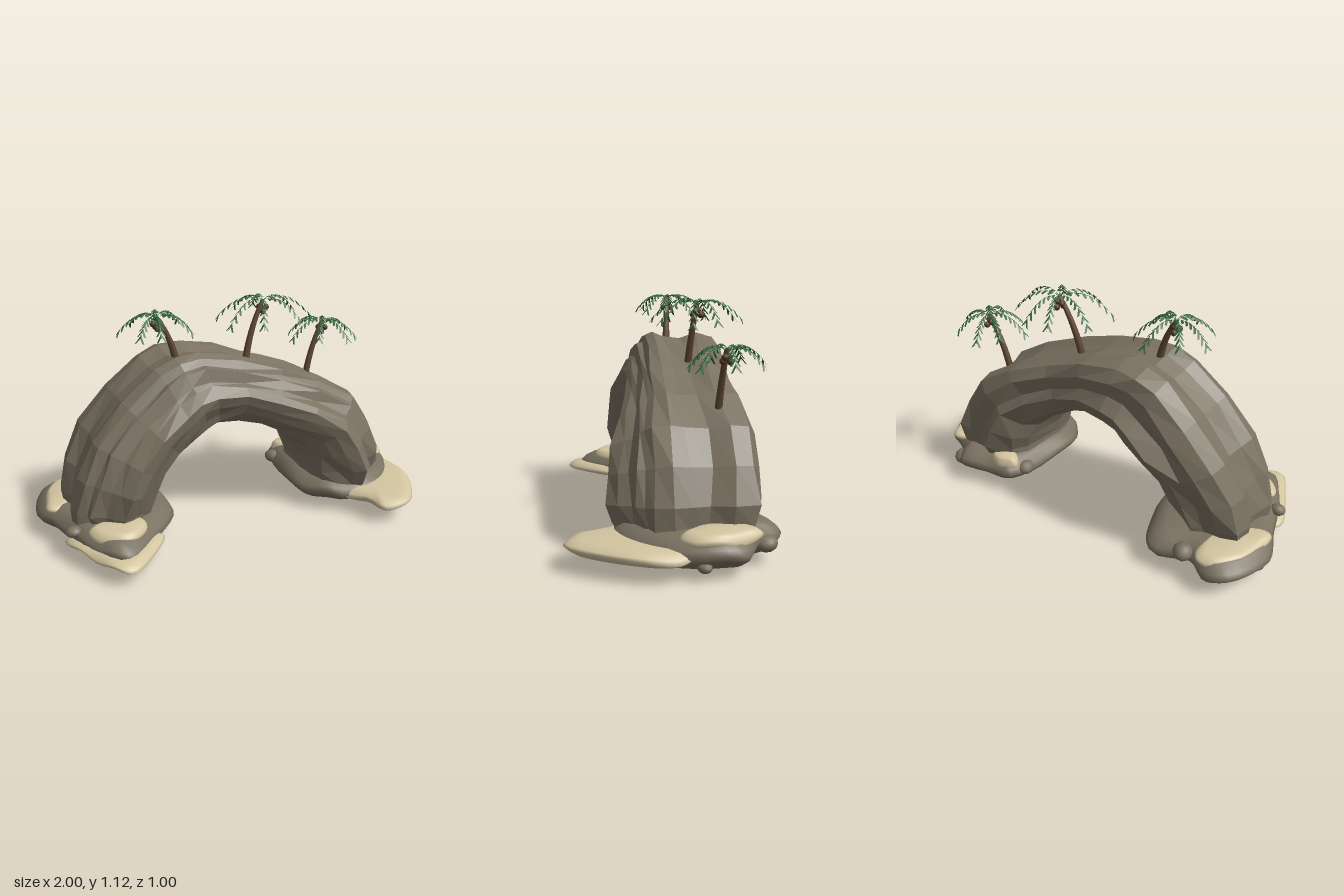
import * as THREE from 'three';

const mat = (name, color, side = THREE.FrontSide) =>
  Object.assign(new THREE.MeshStandardMaterial({ color, side }), { name });

// small seeded noise in -1..1
let seed = 7;
const rnd = () => {
  seed = (seed * 16807) % 2147483647;
  return (seed / 2147483647) * 2 - 1;
};

function mesh(name, geometry, material) {
  const m = new THREE.Mesh(geometry, material);
  m.name = name;
  return m;
}

const spline = (points, closed = false) => new THREE.CatmullRomCurve3(
  points.map(p => new THREE.Vector3(...p)), closed, 'centripetal');

// skin over closed rings of Vector3, with both ends capped
function loft(rings, flat) {
  const n = rings[0].length, pos = [], idx = [];
  rings.forEach(r => r.forEach(p => pos.push(p.x, p.y, p.z)));
  for (let i = 0; i < rings.length - 1; i++)
    for (let j = 0; j < n; j++) {
      const a = i * n + j, b = i * n + (j + 1) % n;
      idx.push(a, b, a + n, b, b + n, a + n);
    }
  [0, rings.length - 1].forEach((r, end) => {
    const c = rings[r].reduce((s, p) => s.add(p), new THREE.Vector3()).divideScalar(n);
    const k = pos.length / 3;
    pos.push(c.x, c.y, c.z);
    for (let j = 0; j < n; j++) {
      const a = r * n + j, b = r * n + (j + 1) % n;
      end ? idx.push(a, b, k) : idx.push(b, a, k);
    }
  });
  let g = new THREE.BufferGeometry();
  g.setAttribute('position', new THREE.Float32BufferAttribute(pos, 3));
  g.setIndex(idx);
  if (flat) g = g.toNonIndexed();
  g.computeVertexNormals();
  return g;
}

// faceted arch: ridged section swept between an outer and an inner curve
function archGeometry() {
  // x, y and front depth
  const outer = spline([[-.86, .08, .17], [-.88, .22, .22], [-.75, .55, .24], [-.42, .87, .2],
    [-.2, .925, .17], [.25, .8, .2], [.67, .6, .28], [.85, .28, .31], [.84, .08, .24]]);
  // x, y and back depth
  const inner = spline([[-.48, .08, -.3], [-.46, .18, -.32], [-.39, .35, -.39], [-.23, .48, -.38],
    [-.11, .54, -.36], [.13, .5, -.33], [.35, .35, -.39], [.41, .2, -.39], [.41, .08, -.34]]);
  // u from inner to outer side, v from back to front
  const section = [[1, .1], [.95, .36], [.86, .46], [.83, .58], [.68, .68], [.62, .82], [.5, 1], [.36, .92],
    [.22, .74], [.1, .56], [.03, .3], [0, 0], [.04, -.6], [.16, -.82], [.4, -1],
    [.55, -.92], [.75, -.92], [.93, -.85], [.97, -.6], [.9, -.35], [.94, -.1]];
  const rings = [];
  for (let i = 0; i <= 16; i++) {
    const o = outer.getPoint(i / 16), n = inner.getPoint(i / 16);
    rings.push(section.map(([u, v], j) => {
      const uu = u + (u > 0.03 && u < 0.98 ? rnd() * 0.024 : 0);
      const vv = v + (j ? rnd() * 0.045 : 0);
      return new THREE.Vector3(n.x + (o.x - n.x) * uu, n.y + (o.y - n.y) * uu,
        vv >= 0 ? vv * o.z : -vv * n.z);
    }));
  }
  return loft(rings, true);
}

// lens-edged slab from an x, z outline
function slab(outline, y0, y1) {
  const pts = spline(outline.map(([x, z]) => [x, 0, z]), true).getPoints(44).slice(0, 44);
  if (!THREE.ShapeUtils.isClockWise(pts.map(p => new THREE.Vector2(p.x, p.z)))) pts.reverse();
  const c = pts.reduce((s, p) => s.add(p), new THREE.Vector3()).divideScalar(pts.length);
  const profile = [[.3, 0], [.6, .08], [.83, .24], [.95, .42], [1, .56], [.96, .7], [.86, .87], [.72, .96], [.3, 1]];
  return loft(profile.map(([s, h]) => pts.map(p => new THREE.Vector3(
    c.x + (p.x - c.x) * s,
    y0 + (y1 - y0) * h + 0.012 * Math.sin(p.x * 23 + p.z * 17) * s * (1 - Math.abs(2 * h - 1)),
    c.z + (p.z - c.z) * s))), false);
}

// uneven oval outline for sand patches
const oval = (x, z, rx, rz, turn) => Array.from({ length: 9 }, (_, k) => {
  const t = (k / 9) * Math.PI * 2, s = 1 + 0.08 * Math.sin(k * 4);
  const a = Math.cos(t) * rx * s, b = Math.sin(t) * rz * s;
  return [x + a * Math.cos(turn) - b * Math.sin(turn), z + a * Math.sin(turn) + b * Math.cos(turn)];
});

// arching fronds: tapered rib with paired leaflets
function crownGeometry(length, turn, count) {
  const pos = [], up = new THREE.Vector3(0, 1, 0);
  const tri = (...ps) => ps.forEach(p => pos.push(p.x, p.y, p.z));
  for (let f = 0; f < count; f++) {
    const a = turn + (f / count) * Math.PI * 2 + rnd() * 0.2;
    const L = length * (1 + rnd() * 0.14);
    const out = new THREE.Vector3(Math.cos(a), 0, Math.sin(a));
    const side = new THREE.Vector3().crossVectors(out, up);
    const at = t => out.clone().multiplyScalar(L * t).addScaledVector(up, L * (0.55 * t - 0.95 * t * t));
    const steps = 8;
    for (let k = 0; k < steps; k++) {
      const t = k / steps, p = at(t), q = at(t + 1 / steps);
      const w = 0.005 * (1 - t * 0.5);
      const l = p.clone().addScaledVector(side, -w), r = p.clone().addScaledVector(side, w);
      tri(l, r, q);
      if (k < 1) continue;
      const along = q.clone().sub(p).normalize();
      const reach = 0.028 + 0.016 * t;
      for (const s of [-1, 1]) {
        const dir = along.clone().multiplyScalar(0.75).addScaledVector(side, s * 0.6);
        dir.y -= 0.4;
        const tip = p.clone().addScaledVector(dir, reach);
        const mid = p.clone().addScaledVector(dir, reach * 0.6).addScaledVector(along, 0.016);
        tri(p, mid, tip);
        tri(p, p.clone().addScaledVector(along, 0.018), mid);
      }
    }
  }
  const g = new THREE.BufferGeometry();
  g.setAttribute('position', new THREE.Float32BufferAttribute(pos, 3));
  g.computeVertexNormals();
  return g;
}

// curved tapering trunk
function trunkGeometry(base, top) {
  const a = new THREE.Vector3(...base), b = new THREE.Vector3(...top);
  const bend = new THREE.Vector3(a.x + (b.x - a.x) * 0.25, (a.y + b.y) / 2 + 0.02, (a.z + b.z) / 2);
  const curve = new THREE.QuadraticBezierCurve3(a, bend, b);
  const rings = [];
  for (let i = 0; i <= 8; i++) {
    const p = curve.getPoint(i / 8), r = 0.02 - 0.008 * (i / 8);
    rings.push(Array.from({ length: 9 }, (_, j) => {
      const t = (j / 9) * Math.PI * 2;
      return new THREE.Vector3(p.x + Math.cos(t) * r, p.y, p.z - Math.sin(t) * r);
    }));
  }
  return loft(rings, false);
}

function palmTree(base, top, length, turn, bark, leaf, nut) {
  const palm = new THREE.Group();
  palm.name = 'palmTree';
  const crown = mesh('fronds', crownGeometry(length, turn, 8), leaf);
  crown.position.set(...top);
  palm.add(mesh('trunk', trunkGeometry(base, top), bark), crown);
  for (let k = 0; k < 4; k++) {
    const c = mesh('coconut', new THREE.SphereGeometry(0.016, 10, 8), nut);
    const t = turn + k * Math.PI / 2;
    c.position.set(top[0] + Math.cos(t) * 0.018, top[1] - 0.034 - (k % 2) * 0.02, top[2] + Math.sin(t) * 0.018);
    palm.add(c);
  }
  return palm;
}

export function createModel() {
  const rock = mat('rock', 0x7a7161), sand = mat('sand', 0xd3c5a0);
  const bark = mat('bark', 0x5e4631), nut = mat('coconut', 0x4f3a28);
  const leaf = mat('palm leaf', 0x35663c, THREE.DoubleSide);
  const model = new THREE.Group();
  model.name = 'rockArchIsland';
  model.add(mesh('stoneArch', archGeometry(), rock));

  // footings and beaches
  const addSlab = (name, material, y0, y1, outline) => model.add(mesh(name, slab(outline, y0, y1), material));
  addSlab('rightFooting', rock, .005, .18, [[-1, -.22], [-.92, -.45], [-.81, -.5], [-.68, -.43], [-.5, -.47],
    [-.42, -.37], [-.35, -.12], [-.36, .06], [-.52, .25], [-.71, .41], [-.83, .27], [-.94, -.05]]);
  addSlab('leftFooting', rock, 0, .19, [[.42, -.4], [.55, -.42], [.73, -.46], [.82, -.35], [.97, -.26],
    [1, -.12], [.93, .1], [.8, .25], [.6, .29], [.45, .22], [.35, .08], [.36, -.15]]);
  addSlab('rightBeach', sand, .045, .115, [[-.92, .05], [-.87, .25], [-.73, .475], [-.56, .35], [-.47, .2], [-.6, 0]]);
  addSlab('leftBeach', sand, .045, .14, [[.46, .1], [.62, .38], [.65, .47], [.78, .495], [.92, .33],
    [1, .12], [.97, -.03], [.6, -.04]]);
  addSlab('rightBackSand', sand, .1, .182, oval(-.83, -.28, .2, .11, -1.1));
  addSlab('rightFrontSand', sand, .1, .187, oval(-.69, .2, .14, .11, 0));
  addSlab('leftSideSand', sand, .1, .2, oval(.87, -.16, .18, .1, 1.4));
  addSlab('leftBackSand', sand, .1, .195, oval(.5, -.34, .08, .06, 0));

  // loose boulders
  for (const [x, y, z, r] of [[-.89, .14, .1, .035], [-.65, .13, -.42, .05], [-.95, .08, -.25, .035],
    [.96, .06, -.08, .03], [.78, .09, -.38, .05], [.4, .12, -.3, .045]]) {
    const b = mesh('boulder', new THREE.IcosahedronGeometry(r, 1), rock);
    b.position.set(x, y, z);
    b.scale.set(1, 0.8, 1.15);
    b.rotation.y = x * 9;
    model.add(b);
  }

  // palms along the crest
  model.add(
    palmTree([-.275, .85, -.06], [-.37, 1.1, -.075], .19, .1, bark, leaf, nut),
    palmTree([.125, .76, -.12], [.24, 1.1, -.15], .25, .35, bark, leaf, nut),
    palmTree([.53, .56, -.2], [.645, .925, -.22], .2, .6, bark, leaf, nut));
  return model;
}
